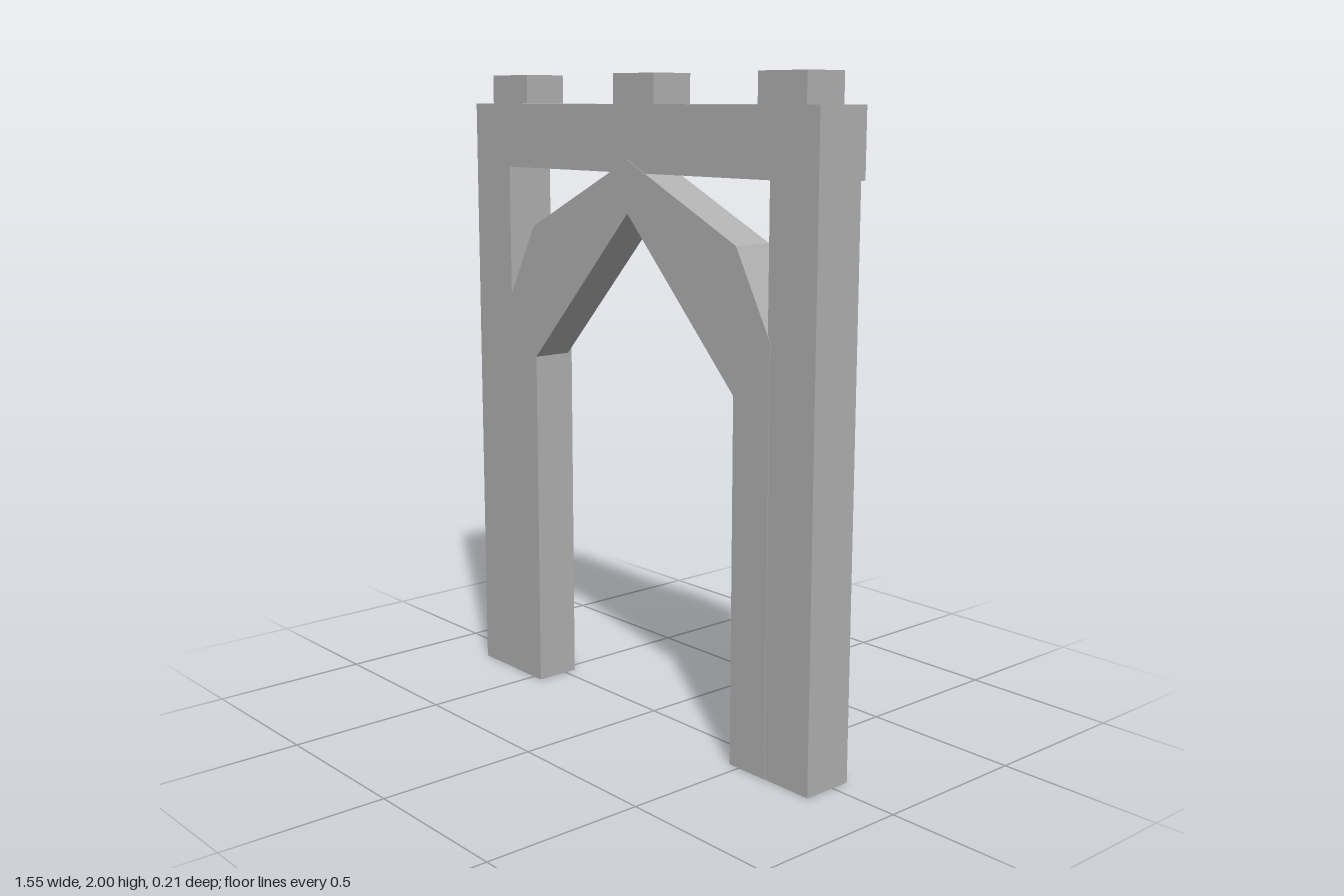
import * as THREE from 'three';

const stone = new THREE.MeshStandardMaterial({ color: 0xb0b0b0 });
stone.name = 'grey stone';

export function createModel() {
  const gate = new THREE.Group();
  gate.name = 'archedGateway';

  const add = (geometry, name) => {
    const mesh = new THREE.Mesh(geometry, stone);
    mesh.name = name;
    gate.add(mesh);
  };

  // Box given by its limits on each axis
  const box = (name, x0, x1, y0, y1, z0, z1) => {
    const g = new THREE.BoxGeometry(x1 - x0, y1 - y0, z1 - z0);
    g.translate((x0 + x1) / 2, (y0 + y1) / 2, (z0 + z1) / 2);
    add(g, name);
  };

  // Mirrored arch between an outer and inner half-profile, each from the foot to the apex
  const arch = (name, outer, inner, z0, z1) => {
    const full = (half) => [...half, ...half.slice(0, -1).reverse().map(([x, y]) => [-x, y])];
    const points = [...full(outer), ...full(inner).reverse()].map(([x, y]) => new THREE.Vector2(x, y));
    const g = new THREE.ExtrudeGeometry(new THREE.Shape(points), { depth: z1 - z0, bevelEnabled: false });
    g.translate(0, 0, z0);
    add(g, name);
  };

  // Posts with two raised strips on the back
  for (const s of [-1, 1]) {
    const side = s > 0 ? 'left' : 'right';
    const sided = (name, a, b, ...rest) => box(side + name, Math.min(s * a, s * b), Math.max(s * a, s * b), ...rest);
    sided('Post', 0.595, 0.775, 0, 1.71, -0.06, 0.103);
    sided('WideStrip', 0.66, 0.715, 0.15, 1.71, -0.075, -0.06);
    sided('NarrowStrip', 0.733, 0.758, 0.175, 1.71, -0.075, -0.06);
  }

  // Lintel with a plate on the back
  box('lintel', -0.775, 0.775, 1.71, 1.91, -0.077, 0.103);
  box('lintelPlate', -0.743, 0.743, 1.73, 1.88, -0.105, -0.077);

  // Blocks on top of the lintel
  for (const x of [-0.615, 0, 0.615]) box('topBlock', x - 0.092, x + 0.092, 1.91, 2, -0.062, 0.082);

  // Pointed arch with a kinked rim on the back
  arch('arch',
    [[0.605, 0], [0.605, 1.272], [0.468, 1.525], [0, 1.748]],
    [[0.462, 0], [0.462, 1.103], [0, 1.59]], -0.025, 0.105);
  arch('archRim',
    [[0.515, 0], [0.515, 1.18], [0.385, 1.445], [0, 1.66]],
    [[0.462, 0], [0.462, 1.14], [0.345, 1.395], [0, 1.6]], -0.04, -0.025);

  return gate;
}
